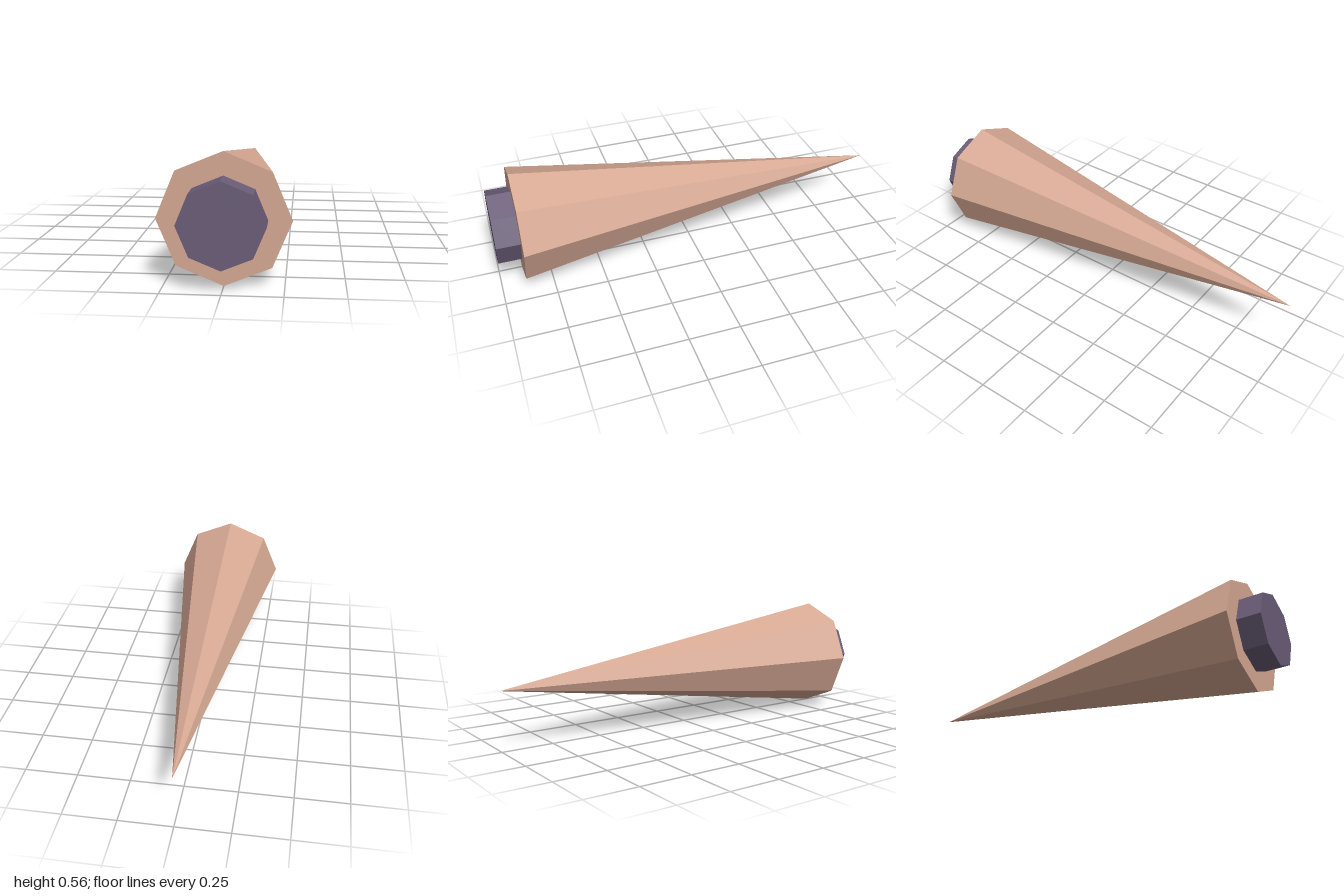
import * as THREE from 'three';

const SIDES = 8;
const AXIS_Y = 0.28;

export function createModel() {
  const group = new THREE.Group();
  group.name = 'taperedSpike';

  const tan = new THREE.MeshStandardMaterial({ color: 0xd6a893, flatShading: true });
  tan.name = 'tan';
  const purple = new THREE.MeshStandardMaterial({ color: 0x6a5d78, flatShading: true });
  purple.name = 'dusky purple';

  // Lays an upright geometry along z, its top towards the back
  const addPart = (name, geometry, material, z) => {
    const mesh = new THREE.Mesh(geometry.rotateX(-Math.PI / 2), material);
    mesh.name = name;
    mesh.position.set(0, AXIS_Y, z);
    group.add(mesh);
  };

  // Long eight-sided cone, base at z = 0.885 and tip at z = -1
  addPart('spike', new THREE.ConeGeometry(0.28, 1.885, SIDES), tan, -0.0575);

  // Short plug standing out of the base
  addPart('plug', new THREE.CylinderGeometry(0.181, 0.181, 0.125, SIDES), purple, 0.9375);

  return group;
}
